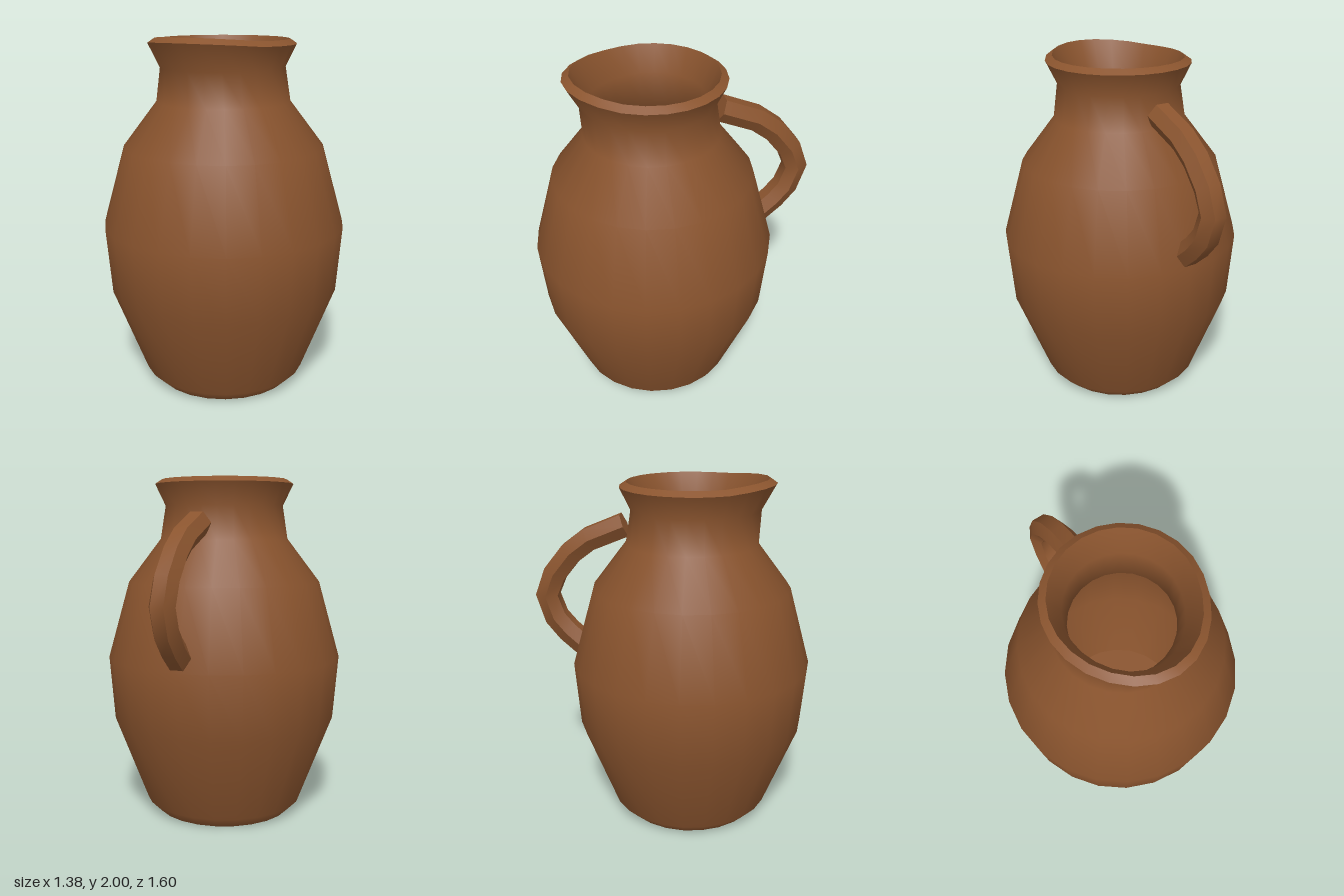
import * as THREE from 'three';
import { mergeVertices, toCreasedNormals } from 'three/addons/utils/BufferGeometryUtils.js';

const SIDES = 24;
const BODY_Z = 0.11;

// Lathe a profile, then pull the front of the neck forward and up into a lip
function turned(name, profile, material) {
  const geo = new THREE.LatheGeometry(profile.map(([r, y]) => new THREE.Vector2(r, y)), SIDES);
  geo.deleteAttribute('uv');
  geo.deleteAttribute('normal');
  const pos = geo.attributes.position;
  for (let i = 0; i < pos.count; i++) {
    const x = pos.getX(i), y = pos.getY(i), z = pos.getZ(i);
    const front = z / (Math.hypot(x, z) || 1);
    const pull = 0.06 * THREE.MathUtils.smoothstep(y, 1.63, 1.95) * Math.max(0, front) ** 2;
    const rise = 0.023 * THREE.MathUtils.smoothstep(y, 1.82, 1.95) * Math.max(0, (front - 0.45) / 0.55);
    pos.setXYZ(i, x, y + rise, z + pull + BODY_Z);
  }
  const smooth = mergeVertices(geo, 1e-4);
  smooth.computeVertexNormals();
  const mesh = new THREE.Mesh(smooth, material);
  mesh.name = name;
  return mesh;
}

// Sweep a hexagon along a path in the yz plane, with closed ends
function hexSweep(path, radius) {
  const verts = [], index = [], n = 6;
  path.forEach(([z, y], i) => {
    const a = path[Math.max(0, i - 1)], b = path[Math.min(path.length - 1, i + 1)];
    const len = Math.hypot(b[0] - a[0], b[1] - a[1]);
    const tz = (b[0] - a[0]) / len, ty = (b[1] - a[1]) / len;
    for (let k = 0; k < n; k++) {
      const t = (k / n) * Math.PI * 2;
      const s = Math.sin(t) * radius;
      verts.push(Math.cos(t) * radius, y - tz * s, z + ty * s);
    }
  });
  for (let i = 0; i < path.length - 1; i++) {
    for (let k = 0; k < n; k++) {
      const a = i * n + k, b = i * n + (k + 1) % n;
      index.push(a, a + n, b, b, a + n, b + n);
    }
  }
  const last = (path.length - 1) * n;
  for (let k = 1; k < n - 1; k++) {
    index.push(0, k, k + 1, last, last + k + 1, last + k);
  }
  const geo = new THREE.BufferGeometry();
  geo.setAttribute('position', new THREE.Float32BufferAttribute(verts, 3));
  geo.setIndex(index);
  return toCreasedNormals(geo, 0.75);
}

export function createModel() {
  const clay = new THREE.MeshStandardMaterial({ color: 0x8a542e });
  clay.name = 'brown clay';
  const group = new THREE.Group();
  group.name = 'jug';

  group.add(
    turned('base', [[0, 0], [0.405, 0]], clay),
    turned('body', [
      [0.405, 0], [0.47, 0.065], [0.66, 0.565], [0.69, 0.94], [0.565, 1.385],
      [0.375, 1.635], [0.345, 1.825], [0.405, 1.95],
    ], clay),
    turned('rim', [[0.405, 1.95], [0.365, 1.977]], clay),
    turned('innerWall', [
      [0.365, 1.977], [0.3, 1.83], [0.283, 1.64], [0.5, 1.36],
      [0.63, 0.94], [0.6, 0.58], [0.42, 0.08],
    ], clay),
    turned('innerFloor', [[0.42, 0.08], [0, 0.08]], clay),
  );

  // Handle arching from the neck down to the belly at the back
  const handle = new THREE.Mesh(hexSweep([
    [-0.27, 1.727], [-0.477, 1.642], [-0.585, 1.56], [-0.685, 1.435],
    [-0.735, 1.308], [-0.69, 1.17], [-0.62, 1.085], [-0.53, 1.005],
  ], 0.075), clay);
  handle.name = 'handle';
  group.add(handle);
  return group;
}
